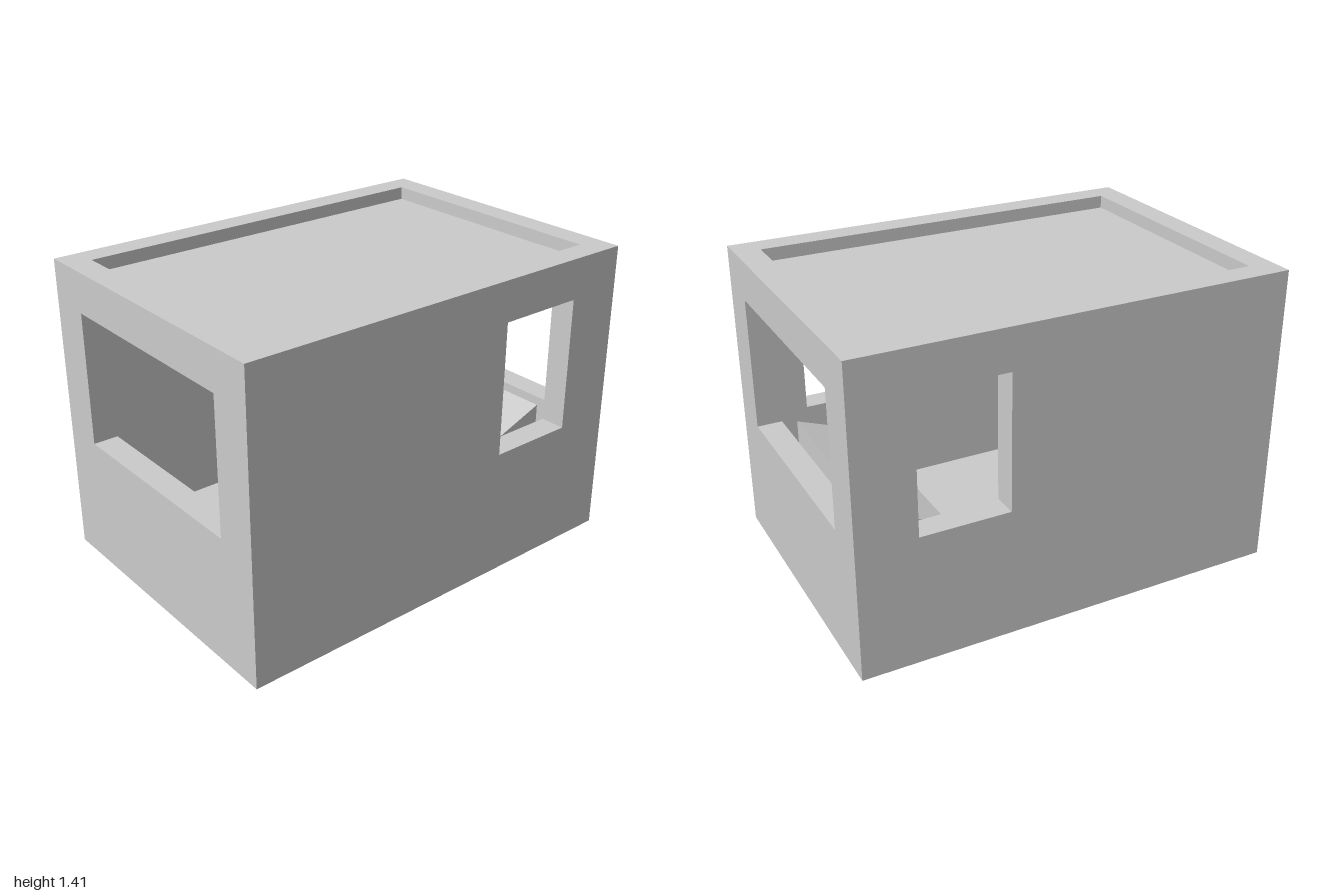
import * as THREE from 'three';

const W = 1.41, H = 1.41, D = 2, T = 0.117;
const SILL = 0.6, HEAD = 1.222;
const material = new THREE.MeshStandardMaterial({ color: 0xcccccc, flatShading: true });

function add(parent, name, geometry, x = 0, y = 0, z = 0) {
  const mesh = new THREE.Mesh(geometry, material);
  mesh.name = name;
  mesh.position.set(x, y, z);
  parent.add(mesh);
  return mesh;
}

function polygon(points, Type = THREE.Shape) {
  return new Type(points.map(([x, y]) => new THREE.Vector2(x, y)));
}

// Upright wall with one rectangular window from u0 to u1, centred in its thickness
function wallGeometry(width, u0, u1) {
  const h = width / 2;
  const shape = polygon([[-h, 0], [h, 0], [h, H], [-h, H]]);
  shape.holes.push(polygon([[u0, SILL], [u0, HEAD], [u1, HEAD], [u1, SILL]], THREE.Path));
  return new THREE.ExtrudeGeometry(shape, { depth: T, bevelEnabled: false }).translate(0, 0, -T / 2);
}

export function createModel() {
  const model = new THREE.Group();
  model.name = 'cabin';
  const innerW = W - 2 * T, innerD = D - 2 * T;

  // Front and back walls with wide windows
  for (const [name, s] of [['frontWall', 1], ['backWall', -1]]) {
    add(model, name, wallGeometry(W, -0.5, 0.5), 0, 0, s * (D - T) / 2);
  }

  // Side walls with narrow windows near the back
  for (const [name, s] of [['leftWall', 1], ['rightWall', -1]]) {
    const wall = add(model, name, wallGeometry(innerD, 0.32, 0.73), s * (W - T) / 2);
    wall.rotation.y = Math.PI / 2;
  }

  // Floor slab and thin roof sunk below the parapet
  add(model, 'floor', new THREE.BoxGeometry(innerW, 0.112, innerD), 0, 0.056, 0);
  add(model, 'roof', new THREE.BoxGeometry(innerW, 0.008, innerD), 0, 1.346, 0);

  // Control desk: side profile (z, y) swept across the cabin
  const desk = polygon([[-0.82, 0.112], [-0.5, 0.112], [-0.5, 0.48], [-0.82, 0.598]]);
  const deskWidth = 0.94;
  const deskGeometry = new THREE.ExtrudeGeometry(desk, { depth: deskWidth, bevelEnabled: false });
  deskGeometry.translate(0, 0, -deskWidth / 2).rotateY(-Math.PI / 2);
  add(model, 'controlDesk', deskGeometry);

  // Lever with a faceted knob, standing on a small plate on the sloping desk
  const lever = new THREE.Group();
  lever.name = 'lever';
  lever.position.set(0.304, 0, -0.645);
  model.add(lever);
  const plate = add(lever, 'leverPlate', new THREE.BoxGeometry(0.1, 0.01, 0.12), 0, 0.535, 0);
  plate.rotation.x = Math.atan2(0.118, 0.32);
  add(lever, 'leverStem', new THREE.CylinderGeometry(0.021, 0.021, 0.19, 8), 0, 0.605, 0);
  const knob = [[0, 0.695], [0.024, 0.695], [0.03, 0.702], [0.03, 0.725], [0.016, 0.738], [0, 0.74]];
  add(lever, 'leverKnob', new THREE.LatheGeometry(knob.map(([r, y]) => new THREE.Vector2(r, y)), 8));

  return model;
}
